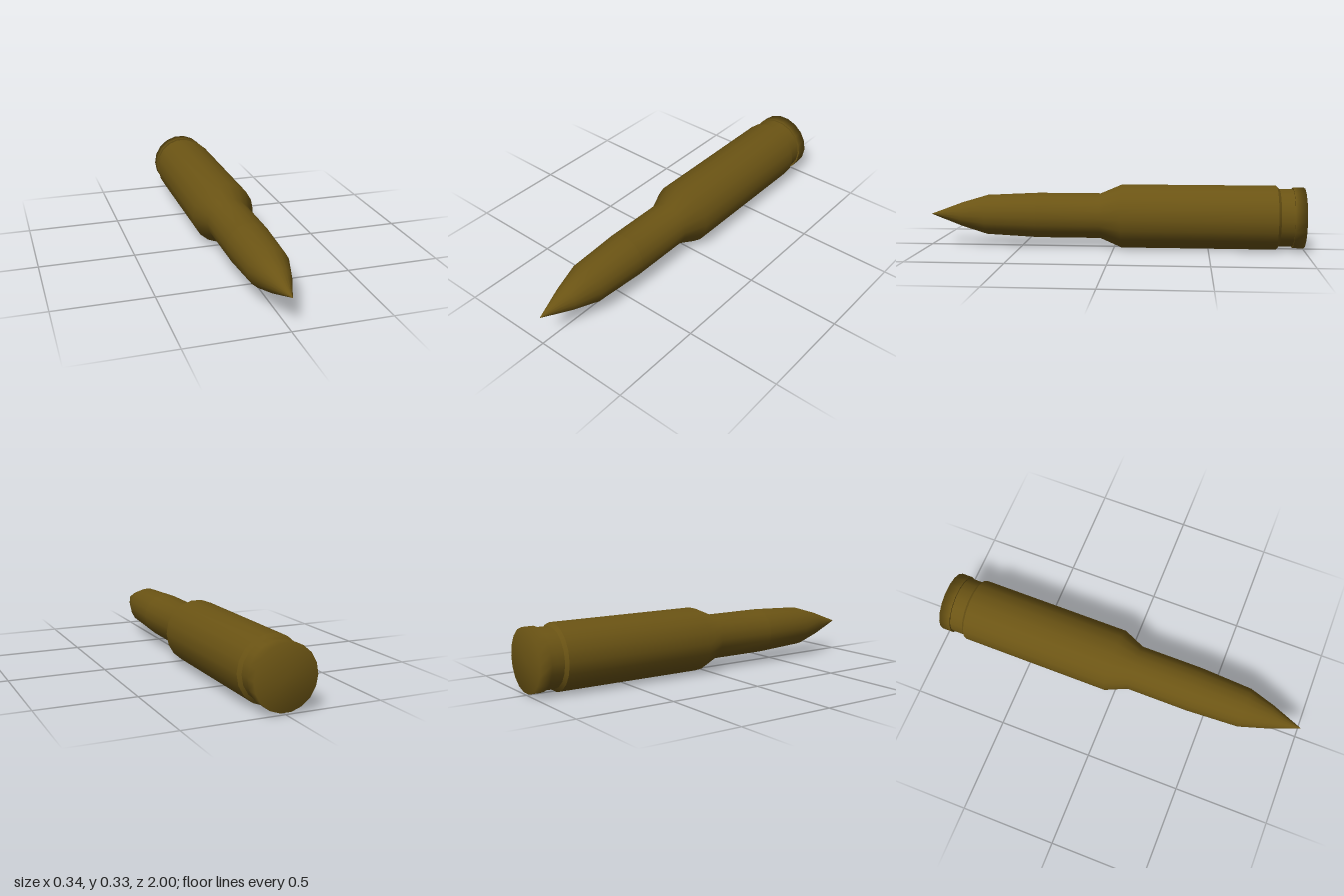
import * as THREE from 'three';

const SIDES = 18;
const AXIS_Y = 0.167;

export function createModel() {
  const group = new THREE.Group();
  group.name = 'cartridge';
  const brass = new THREE.MeshStandardMaterial({ color: 0x6b5414 });

  // Turned part: profile of [radius, z], listed from back to front
  function turned(name, profile) {
    const points = profile.map(([r, z]) => new THREE.Vector2(r, z));
    const geometry = new THREE.LatheGeometry(points, SIDES, Math.PI / 2);
    geometry.rotateX(Math.PI / 2);
    const mesh = new THREE.Mesh(geometry, brass);
    mesh.name = name;
    mesh.position.y = AXIS_Y;
    group.add(mesh);
  }

  // Flat base with its softly shaded rim
  turned('rim', [[0, -1], [0.16, -1], [0.16, -0.94]]);
  turned('rimFront', [[0.16, -0.94], [0.152, -0.94]]);

  // Extractor groove and its bevel up to the body
  turned('groove', [[0.152, -0.94], [0.152, -0.87]]);
  turned('grooveBevel', [[0.152, -0.87], [0.169, -0.855]]);

  // Body, shoulder and neck
  turned('casing', [[0.169, -0.855], [0.169, -0.04], [0.12, 0.075], [0.12, 0.41]]);

  // Pointed bullet
  turned('bullet', [[0.12, 0.41], [0.106, 0.69], [0.064, 0.83], [0, 1]]);

  return group;
}
